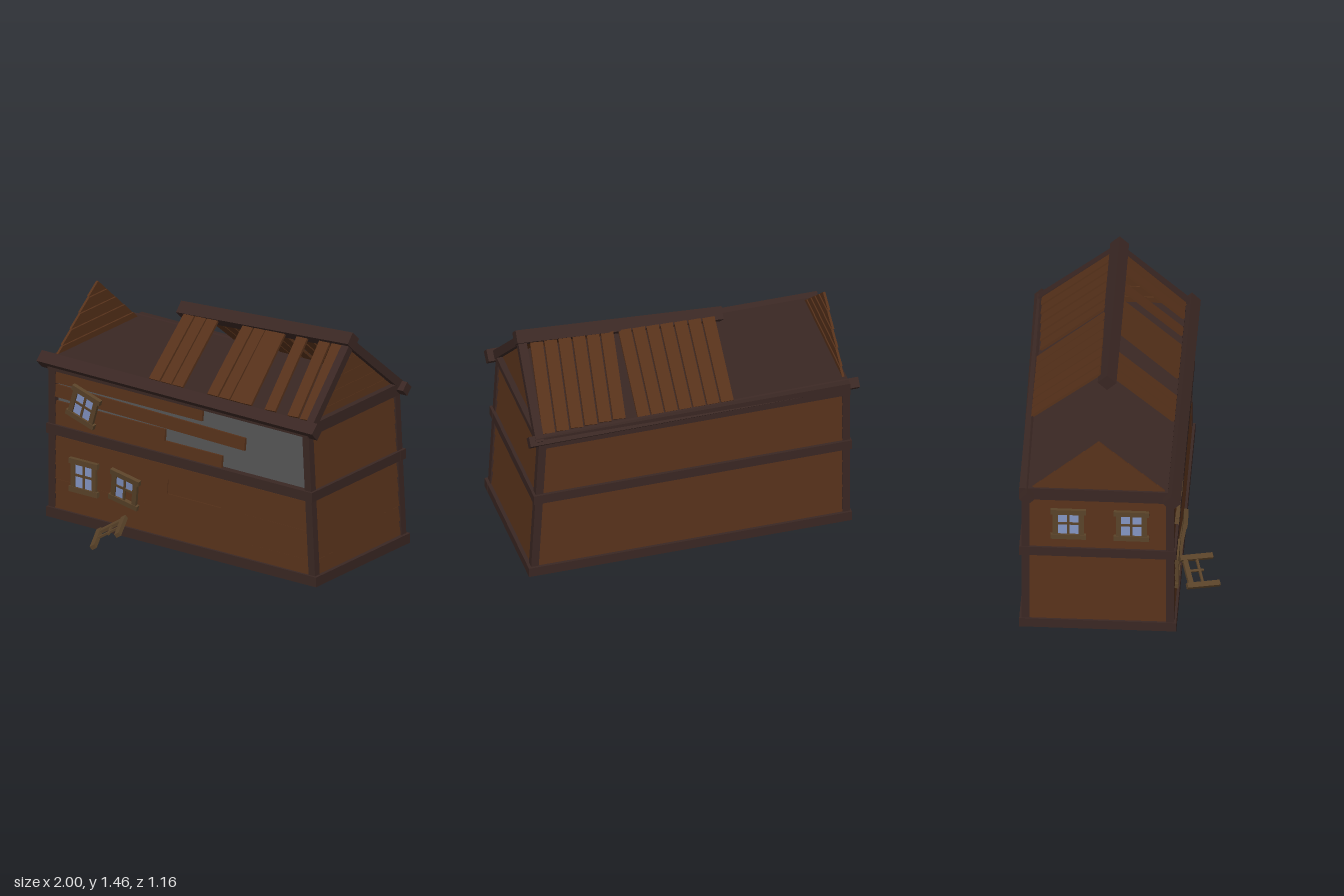
import * as THREE from 'three';

const mat = (color) => new THREE.MeshStandardMaterial({ color, flatShading: true });
const V = (x, y, z) => new THREE.Vector3(x, y, z);

export function createModel() {
  const house = new THREE.Group();
  house.name = 'ruinedHouse';
  const timber = mat(0x3a2723), wood = mat(0x56311a), frameWood = mat(0x5a4329);
  const glass = mat(0x8495c4), plaster = mat(0x575757);
  const rightX = (y) => 0.96 - 0.054 * y; // the right end leans inwards

  function box(name, parent, m, w, h, d, x, y, z) {
    const mesh = new THREE.Mesh(new THREE.BoxGeometry(w, h, d), m);
    mesh.position.set(x, y, z);
    mesh.name = name;
    parent.add(mesh);
    return mesh;
  }

  // bar from a to b; w lies across, h along the given up direction
  function bar(name, a, b, w, h, m, up = V(0, 1, 0), roll = 0) {
    const dir = b.clone().sub(a);
    const mesh = box(name, house, m, w, h, dir.length(), 0, 0, 0);
    mesh.position.copy(a).add(b).multiplyScalar(0.5);
    const zAxis = dir.normalize();
    const xAxis = up.clone().cross(zAxis).normalize();
    const yAxis = zAxis.clone().cross(xAxis);
    mesh.quaternion.setFromRotationMatrix(new THREE.Matrix4().makeBasis(xAxis, yAxis, zAxis));
    mesh.rotateZ(roll);
    return mesh;
  }

  // base, mid and loft frames
  function ring(name, y, h, x0, x1) {
    for (const z of [0.322, -0.532]) box(name, house, timber, x1 - x0, h, 0.055, (x0 + x1) / 2, y, z);
    for (const x of [x0 + 0.025, x1 - 0.025]) box(name, house, timber, 0.049, h * 0.98, 0.9, x, y, -0.105);
  }
  ring('baseBeam', 0.065, 0.06, -0.95, 0.995);
  ring('middleBeam', 0.58, 0.06, -0.95, 0.965);
  ring('loftBeam', 0.97, 0.055, -0.94, 0.935);
  box('groundFloor', house, timber, 1.92, 0.04, 0.87, 0.02, 0.055, -0.105);
  box('loftFloor', house, timber, 1.89, 0.035, 0.86, 0.005, 1.005, -0.13);

  // corner posts
  for (const z of [0.313, -0.523]) {
    bar('cornerPost', V(-0.92, 0.04, z), V(-0.92, 0.98, z), 0.046, 0.046, timber, V(0, 0, 1));
    bar('cornerPost', V(rightX(0.04), 0.04, z), V(rightX(1), 1, z), 0.046, 0.046, timber, V(0, 0, 1));
  }

  // clapboard: lower edge stands proud of the row below
  function board(parent, x0, x1, y, h, z = 0, turn = 0) {
    const b = box('wallBoard', parent, wood, x1 - x0, h, 0.016, (x0 + x1) / 2, y, z);
    b.rotation.set(-0.1, 0, turn);
    return b;
  }
  const rows = [];
  for (let i = 0; i < 5; i++) rows.push(0.137 + i * 0.089);
  const upperRows = [0.647, 0.733, 0.82, 0.905];
  const wobble = (i) => 0.004 * Math.sin(i * 2.3);

  // back wall
  const back = new THREE.Group();
  back.name = 'backWall';
  back.position.z = -0.53;
  back.rotation.y = Math.PI;
  [...rows, ...upperRows].forEach((y, i) => board(back, -rightX(y), 0.91, y, 0.086, 0, wobble(i) / 2));

  // end walls
  const left = new THREE.Group();
  left.name = 'leftWall';
  left.position.set(-0.925, 0, -0.105);
  left.rotation.y = -Math.PI / 2;
  const right = new THREE.Group();
  right.name = 'rightWall';
  right.position.set(0.965, 0, -0.105);
  right.rotation.set(0, Math.PI / 2, 0.054, 'ZYX');
  for (const wall of [left, right])
    [...rows, ...upperRows].forEach((y, i) => board(wall, -0.4, 0.4, y, 0.086, 0, wobble(i + 1)));

  // front wall with broken upper boards over plaster
  const front = new THREE.Group();
  front.name = 'frontWall';
  front.position.z = 0.322;
  rows.forEach((y, i) => {
    if (i !== 3) return board(front, -0.9, rightX(y), y, 0.086, 0, wobble(i) / 2);
    board(front, -0.9, -0.09, y, 0.086);
    board(front, -0.09, 0.3, y, 0.083, -0.006);
    board(front, 0.3, rightX(y), y, 0.086);
  });
  board(front, -0.9, 0.3, 0.642, 0.078);
  board(front, -0.9, -0.11, 0.717, 0.07);
  board(front, -0.9, 0.47, 0.805, 0.075, 0.004, -0.018);
  board(front, -0.9, 0.16, 0.903, 0.075);
  box('plasterWall', front, plaster, 1.8, 0.36, 0.01, 0.005, 0.775, -0.02);
  house.add(front, back, left, right);

  // gable boards cut to the roof slope
  function gable(name, x, lean, baseY, peakY) {
    const g = new THREE.Group();
    g.name = name;
    const n = 5, step = (peakY - baseY) / n;
    const half = (y) => Math.max(0.004, (peakY - y) * 1.14);
    for (let i = 0; i < n; i++) {
      const y0 = baseY + i * step, y1 = y0 + step - 0.003;
      const s = new THREE.Shape();
      s.moveTo(-half(y0), 0);
      s.lineTo(half(y0), 0);
      s.lineTo(half(y1), y1 - y0);
      s.lineTo(-half(y1), y1 - y0);
      const geo = new THREE.ExtrudeGeometry(s, { depth: 0.014, bevelEnabled: false });
      geo.rotateY(Math.PI / 2);
      const mesh = new THREE.Mesh(geo, wood);
      mesh.name = 'gableBoard';
      mesh.position.set(x - lean * (y0 - baseY), y0, -0.1);
      mesh.rotation.z = lean >= 0.01 ? 0.1 : -0.08;
      g.add(mesh);
    }
    house.add(g);
  }
  gable('leftGable', -0.93, 0, 0.99, 1.36);
  gable('rightGable', 0.903, 0.054, 0.99, 1.37);

  // eaves, ridge and rafters
  bar('frontEave', V(-1, 0.99, 0.325), V(0.99, 0.987, 0.33), 0.073, 0.073, timber, V(0, 1, 0), Math.PI / 4);
  bar('backEave', V(-1, 0.985, -0.513), V(0.99, 0.99, -0.538), 0.06, 0.06, timber, V(0, 1, 0), Math.PI / 4);
  bar('ridgeBeam', V(-0.3, 1.325, -0.088), V(0.94, 1.41, -0.085), 0.077, 0.077, timber, V(0, 1, 0), Math.PI / 4);
  bar('rafter', V(0.93, 0.99, 0.325), V(0.905, 1.39, -0.09), 0.05, 0.05, timber, V(1, 0, 0));
  bar('rafter', V(0.93, 0.99, -0.555), V(0.905, 1.39, -0.09), 0.05, 0.05, timber, V(1, 0, 0));

  // roof boards: [x at ridge, x at eave], right-hand ones follow the crooked ridge
  const ridgeY = (x) => 1.345 + 0.04 * (x + 0.25);
  const roofBoard = (xt, xb, z) =>
    bar('roofBoard', V(xb, 1.025, z), V(xt, ridgeY(xt), -0.1 + Math.sign(z) * 0.03), 0.016, 0.074, wood, V(1, 0, 0));
  const frontBoards = [[-0.21, -0.21], [-0.125, -0.125], [-0.042, -0.042], [0.21, 0.21], [0.295, 0.295],
    [0.375, 0.378], [0.435, 0.452], [0.595, 0.625], [0.755, 0.79], [0.845, 0.88]];
  for (const [t, b] of frontBoards) roofBoard(t, b, 0.295);
  for (let i = 0; i < 7; i++) roofBoard(-0.21 + i * 0.084, -0.21 + i * 0.084, -0.525);
  for (let i = 0; i < 6; i++) roofBoard(0.4 + i * 0.085, 0.437 + i * 0.086, -0.51 - i * 0.004);

  // window: rails, stiles, glazing bars and optional panes
  function makeWindow(name, panes, broken = false) {
    const g = new THREE.Group();
    g.name = name;
    for (const y of [-0.087, 0.087]) box('rail', g, frameWood, 0.205, 0.032, 0.026, 0, y, 0);
    for (const x of broken ? [-0.075] : [-0.075, 0.075]) box('stile', g, frameWood, 0.03, 0.17, 0.02, x, 0, 0);
    box('uprightGlazingBar', g, frameWood, 0.014, 0.17, 0.012, 0, 0, 0);
    box('crossGlazingBar', g, frameWood, broken ? 0.1 : 0.14, 0.014, 0.012, broken ? -0.025 : 0, 0.004, 0);
    for (const [x, y] of panes) box('pane', g, glass, 0.058, 0.07, 0.004, x * 0.033, y * 0.037, -0.002);
    house.add(g);
    return g;
  }
  const all = [[-1, -1], [1, -1], [-1, 1], [1, 1]];
  function place(w, x, y, z, rx, ry, rz) {
    w.position.set(x, y, z);
    w.rotation.set(rx, ry, rz);
  }
  place(makeWindow('upperFrontWindow', all), -0.68, 0.77, 0.35, 0.08, 0, -0.32);
  place(makeWindow('lowerFrontWindow', all), -0.685, 0.33, 0.34, 0, 0, 0);
  place(makeWindow('looseFrontWindow', [[-1, 1], [1, 1], [-1, -1]]), -0.38, 0.33, 0.356, 0.17, 0, -0.2);
  place(makeWindow('leftWindow', all), -0.942, 0.78, -0.275, 0, -Math.PI / 2, 0);
  place(makeWindow('leftWindow', all), -0.942, 0.78, 0.09, 0, -Math.PI / 2, 0);

  // fallen frame leaning on the base
  const fallen = makeWindow('fallenWindowFrame', [], true);
  const along = V(0.09, -0.035, 0.19).normalize();
  const normal = along.clone().cross(V(0.145, 0.095, -0.05)).normalize();
  const across = normal.clone().cross(along);
  fallen.quaternion.setFromRotationMatrix(new THREE.Matrix4().makeBasis(along, across, normal));
  fallen.position.set(-0.42, 0.085, 0.455);

  return house;
}
